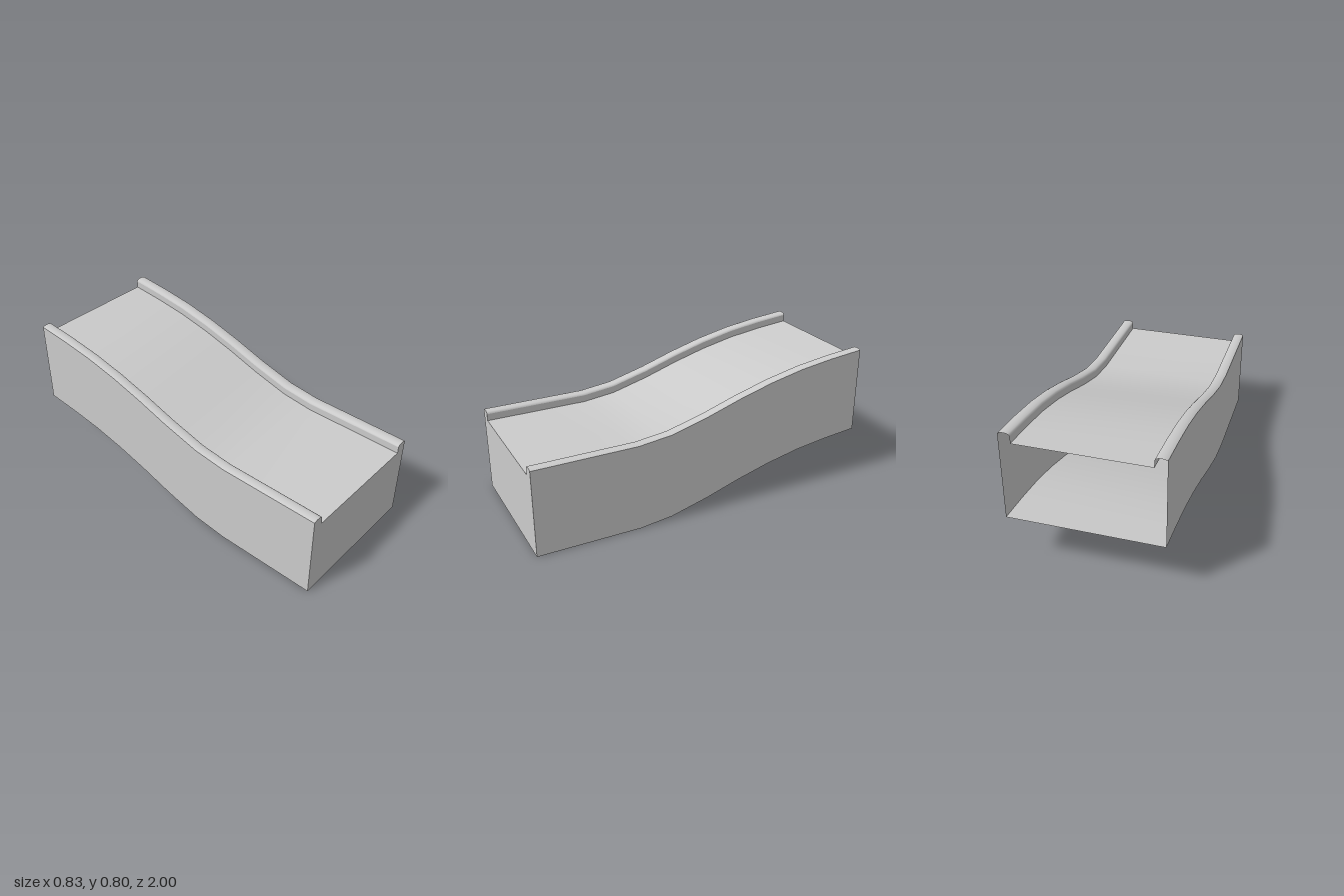
import * as THREE from 'three';

// Centre line of the ramp, front to back: [z, rise]
const path = [
  [1, 0], [0.7, 0], [0.41, 0], [0.22, 0.022], [0, 0.081], [-0.2, 0.146],
  [-0.4, 0.202], [-0.6, 0.245], [-0.8, 0.273], [-1, 0.293],
];

// Cross-section pieces of the left side: [x, y], counter-clockwise seen from the front
const wall = [[0.417, 0], [0.417, 0.5]];
const rail = [[0.417, 0.5], [0.408, 0.504], [0.397, 0.5065], [0.385, 0.507],
  [0.374, 0.506], [0.363, 0.503], [0.356, 0.498], [0.354, 0.492]];
const curb = [[0.354, 0.492], [0.354, 0.452]];

const mirror = (profile) => profile.map(([x, y]) => [-x, y]).reverse();

// Sweeps an open profile along the path
function sweep(profile) {
  const pos = [], index = [], n = profile.length;
  for (const [z, rise] of path) {
    for (const [x, y] of profile) pos.push(x, y + rise, z);
  }
  for (let j = 0; j < path.length - 1; j++) {
    for (let i = 0; i < n - 1; i++) {
      const a = j * n + i, b = a + 1, c = a + n, d = c + 1;
      index.push(a, c, b, b, c, d);
    }
  }
  const geometry = new THREE.BufferGeometry();
  geometry.setAttribute('position', new THREE.Float32BufferAttribute(pos, 3));
  geometry.setIndex(index);
  geometry.computeVertexNormals();
  return geometry;
}

export function createModel() {
  const group = new THREE.Group();
  group.name = 'slopedRamp';
  const material = new THREE.MeshStandardMaterial({ color: 0xcccccc, side: THREE.DoubleSide });

  const add = (name, geometry) => {
    const mesh = new THREE.Mesh(geometry, material);
    mesh.name = name;
    group.add(mesh);
    return mesh;
  };

  // Running surface and underside
  add('deck', sweep([[0.354, 0.452], [-0.354, 0.452]]));
  add('underside', sweep([[-0.417, 0], [0.417, 0]]));

  // Side walls with rounded rails and inner curbs
  for (const [side, f] of [['left', (p) => p], ['right', mirror]]) {
    add(side + 'Wall', sweep(f(wall)));
    add(side + 'Rail', sweep(f(rail)));
    add(side + 'Curb', sweep(f(curb)));
  }

  // Closed front end; the back end stays open
  const half = [...wall, ...rail.slice(1), curb[1]];
  const outline = [...half, ...mirror(half)].map(([x, y]) => new THREE.Vector2(x, y));
  add('frontPanel', new THREE.ShapeGeometry(new THREE.Shape(outline))).position.z = 1;

  return group;
}
